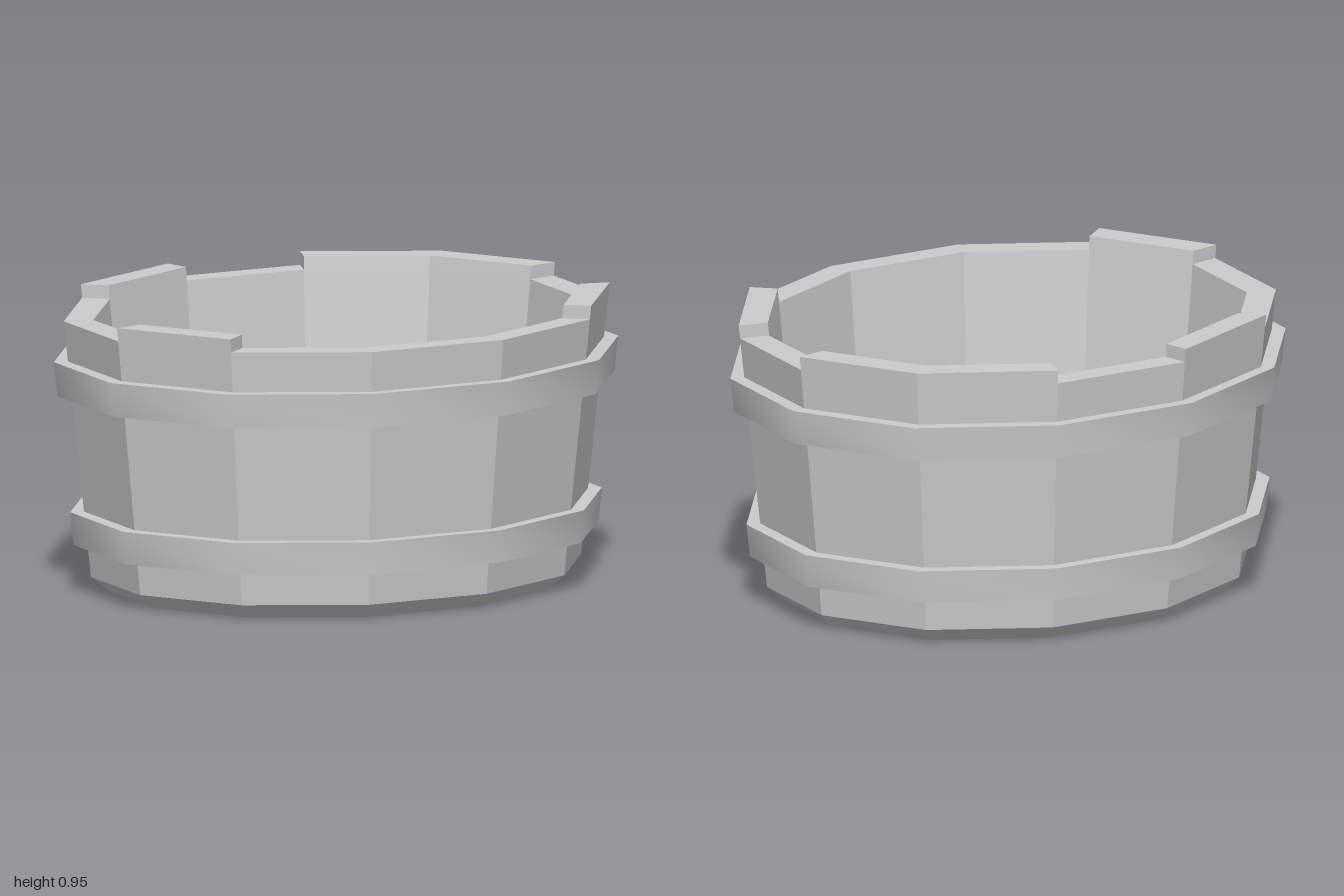
import * as THREE from 'three';
import { toCreasedNormals } from 'three/addons/utils/BufferGeometryUtils.js';

const SIDES = 12;
const DEPTH = 0.857; // the tub is oval: z is squashed against x
const STEP = (Math.PI * 2) / SIDES;

// Twelve-sided oval ring or solid from a list of [radius, height] points
function ovalLathe(points) {
  const profile = points.map(([r, y]) => new THREE.Vector2(r, y));
  return new THREE.LatheGeometry(profile, SIDES).scale(1, 1, DEPTH);
}

// Box bent around the rim, covering a run of whole staves
function raisedStave(first, count) {
  const geometry = new THREE.BoxGeometry(1, 1, 1, count, 1, 1);
  const p = geometry.attributes.position;
  for (let i = 0; i < p.count; i++) {
    const phi = (first + (p.getX(i) + 0.5) * count) * STEP;
    const top = p.getY(i) > 0;
    const r = (p.getZ(i) > 0 ? 0.965 : 0.86) + (top ? 0.005 : 0);
    p.setXYZ(i, Math.sin(phi) * r, top ? 0.955 : 0.91, Math.cos(phi) * r * DEPTH);
  }
  geometry.computeVertexNormals();
  return geometry;
}

export function createModel() {
  const group = new THREE.Group();
  group.name = 'woodenTub';
  const wood = new THREE.MeshStandardMaterial({ color: 0xcccccc, flatShading: true });
  const metal = new THREE.MeshStandardMaterial({ color: 0xcccccc });

  function add(name, geometry, material) {
    const mesh = new THREE.Mesh(geometry, material);
    mesh.name = name;
    group.add(mesh);
  }

  // Hollow body: underside, bevel, outer wall, rim, inner wall, floor
  add('body', ovalLathe([
    [0, 0], [0.805, 0], [0.868, 0.05], [0.965, 0.91],
    [0.86, 0.91], [0.795, 0.27], [0, 0.27],
  ]), wood);

  // Staves that stand above the rim: [first side, number of sides]
  [[1, 1], [3, 2], [6, 1], [9, 1]].forEach(([first, count], i) => {
    add(`raisedStave${i + 1}`, raisedStave(first, count), wood);
  });

  // Two hoops, smooth around and sharp at their edges
  const hoops = [
    ['lowerHoop', 0.16, 0.27, 0.93, 0.942],
    ['upperHoop', 0.66, 0.775, 0.987, 1],
  ];
  for (const [name, y0, y1, r0, r1] of hoops) {
    const ring = ovalLathe([
      [r0 - 0.07, y0], [r0, y0], [r1, y1], [r1 - 0.07, y1],
    ]);
    add(name, toCreasedNormals(ring, 0.7), metal);
  }

  return group;
}
